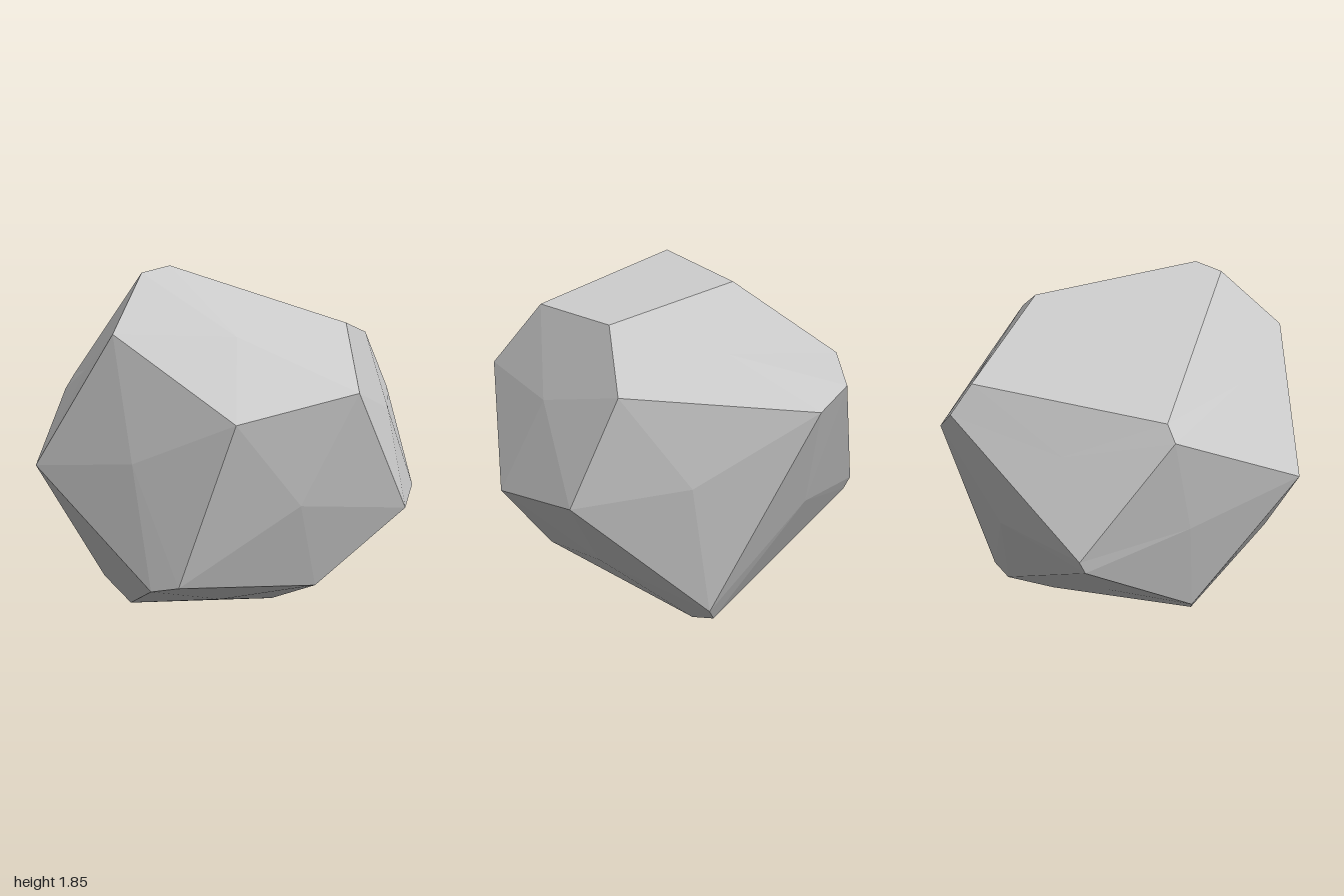
import * as THREE from 'three';

// Corners of the boulder
const corners = {
  A: [-0.33, 1.855, 0.24], B: [-0.47, 1.82, 0.27], C: [0.48, 1.585, 0.54],
  D: [0.735, 1.51, 0], E: [0.905, 1.2, -0.14], F: [0.995, 0.69, 0.065],
  G: [0.78, 0.685, 0.595], H: [0.465, 1.28, 0.845], I: [-0.12, 1.16, 0.95],
  J: [-0.63, 1.54, 0.55], K: [-1, 0.89, 0.275], L: [0.175, 1.7, -0.375],
  M: [0.31, 1.105, -0.885], N: [0.13, 1.215, -0.95], O: [0.06, 1.365, -0.87],
  P: [-0.36, 0.385, 0.785], Q: [0.33, 0.315, 0.6], R: [-0.48, 0.35, 0.7],
  S: [-0.56, 0.625, -0.765], T: [-0.56, 0.56, -0.73], U: [-0.84, 1.19, -0.44],
  V: [-0.79, 1.27, -0.44], W: [0.53, 0.14, -0.42], X: [0.44, 0.075, -0.4],
  Y: [0.28, 0.003, -0.21], Z: [-0.53, 0.095, 0.04], a: [-0.66, 0.21, -0.1],
};

// Each facet: the corners around it, and how far its middle bulges out
const facets = [
  ['PQGHI', 0.04], ['ABJIHC', 0.035], ['JKRPI', 0.03], ['CDEFGH', 0.035],
  ['EMWF', 0.035], ['NMWXTS', 0.035], ['QGFWXY', 0.035], ['PQYZR', 0.025],
  ['KUSTa', 0.02],
  ['ACDL', 0], ['ALOVB', 0], ['LDEMNO', 0], ['BVUKJ', 0],
  ['ONSUV', 0], ['KRZa', 0], ['TaZYX', 0],
];

// Fan of triangles around the raised middle of one facet
function addFacet(out, keys, bulge) {
  let pts = [...keys].map((k) => new THREE.Vector3(...corners[k]));
  const mean = pts.reduce((s, p) => s.add(p), new THREE.Vector3()).divideScalar(pts.length);
  const normal = new THREE.Vector3();
  const middle = new THREE.Vector3();
  let total = 0;
  pts.forEach((p, i) => {
    const q = pts[(i + 1) % pts.length];
    const cross = p.clone().sub(mean).cross(q.clone().sub(mean));
    normal.add(cross);
    const area = cross.length();
    total += area;
    middle.addScaledVector(p.clone().add(q).add(mean), area / 3);
  });
  middle.divideScalar(total);
  normal.normalize();
  // Turn the facet so that it faces outward
  if (normal.dot(mean.clone().sub(new THREE.Vector3(0, 0.93, 0))) < 0) {
    normal.negate();
    pts = pts.reverse();
  }
  middle.addScaledVector(normal, bulge);
  pts.forEach((p, i) => {
    for (const v of [middle, p, pts[(i + 1) % pts.length]]) out.push(v.x, v.y, v.z);
  });
}

export function createModel() {
  const stone = new THREE.MeshStandardMaterial({ color: 0xcccccc });
  stone.name = 'stone';

  const positions = [];
  for (const [keys, bulge] of facets) addFacet(positions, keys, bulge);
  const geometry = new THREE.BufferGeometry();
  geometry.setAttribute('position', new THREE.Float32BufferAttribute(positions, 3));
  geometry.computeVertexNormals(); // unshared corners give flat facets

  const boulder = new THREE.Mesh(geometry, stone);
  boulder.name = 'boulder';
  const group = new THREE.Group();
  group.name = 'rock';
  group.add(boulder);
  return group;
}
